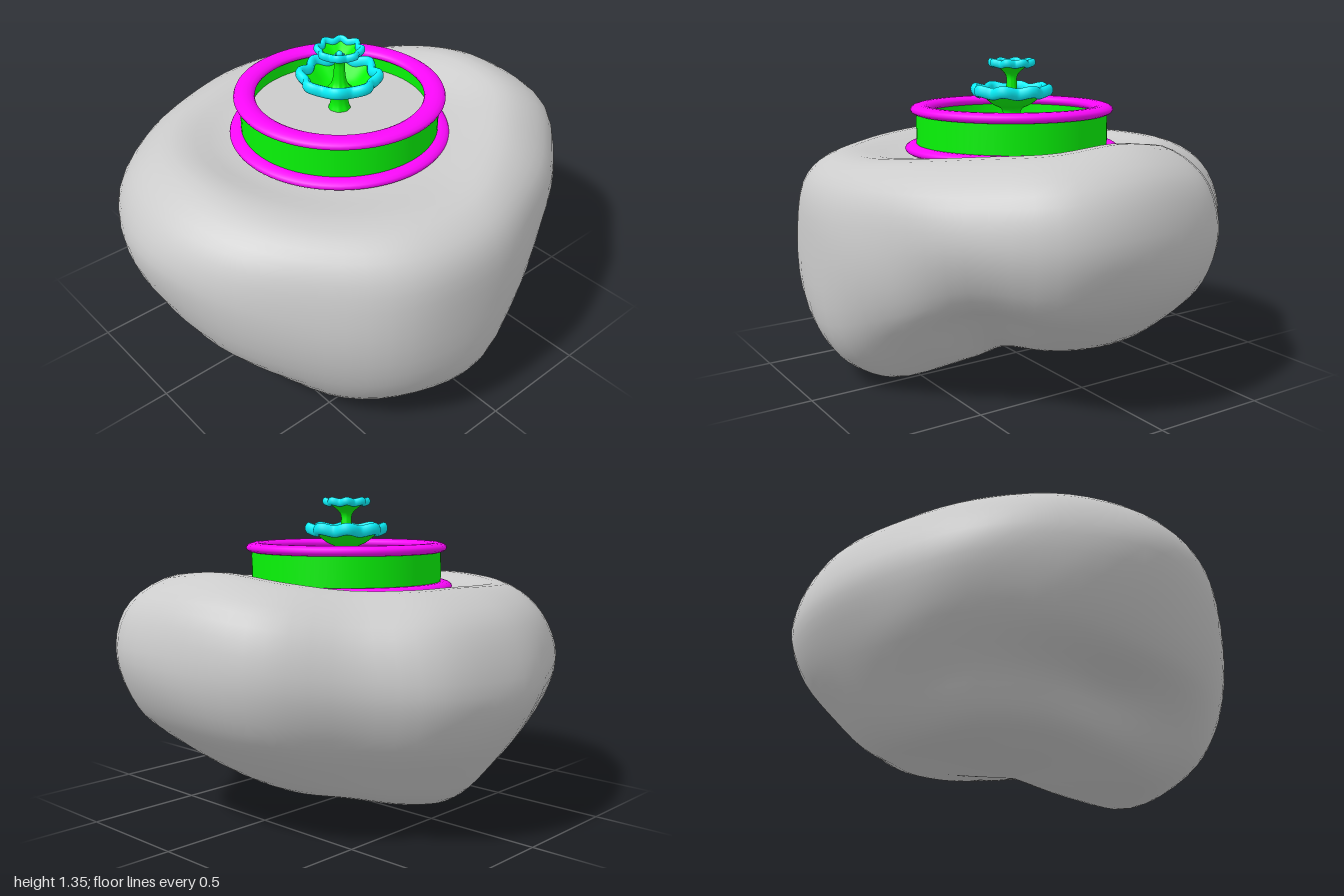
import * as THREE from 'three';

const V = (x, y, z) => new THREE.Vector3(x, y, z);
const mat = (color) => new THREE.MeshStandardMaterial({ color, side: THREE.DoubleSide });
const CX = -0.018, CZ = 0.012; // axis of the basin and fountain

// Plan radius of the boulder every 22.5 degrees, from +x towards +z
const OUTLINE = [0.99, 1.02, 0.93, 0.9, 0.935, 0.968, 0.945, 0.96, 0.992, 0.985, 0.945, 0.91, 0.945, 0.948, 0.885, 0.95];

// Boulder profile every 45 degrees, bottom to top: [share of plan radius, height]
const PROFILES = [
  [[.3, .14], [.5, .175], [.75, .32], [.93, .5], [1, .73], [.93, .96], [.72, 1.07], [.48, .99]],
  [[.36, .16], [.55, .26], [.77, .41], [.91, .51], [1, .72], [.95, .9], [.75, 1.025], [.48, .975]],
  [[.44, .03], [.68, .03], [.87, .13], [.975, .3], [1, .64], [.95, .88], [.81, .975], [.48, .96]],
  [[.42, .02], [.63, .02], [.82, .13], [.945, .32], [1, .62], [.94, .86], [.8, .97], [.48, .95]],
  [[.36, .06], [.53, .11], [.64, .255], [.87, .36], [1, .7], [.93, .89], [.74, 1.0], [.48, .95]],
  [[.4, .08], [.61, .12], [.75, .28], [.92, .46], [1, .68], [.92, .87], [.75, .98], [.48, .95]],
  [[.4, .085], [.6, .1], [.8, .27], [.94, .45], [1, .63], [.89, .89], [.65, 1.0], [.48, .97]],
  [[.38, .12], [.6, .16], [.78, .29], [.93, .46], [1, .66], [.92, .88], [.72, 1.0], [.48, .98]],
];

// Boulder skin: closed rings through the profiles, then a smooth column at each angle
function boulderGeometry(cols = 72, rows = 40) {
  const rings = PROFILES[0].map((_, k) => {
    const pts = OUTLINE.map((r, i) => {
      const a = PROFILES[i >> 1][k], b = PROFILES[((i + 1) >> 1) % 8][k];
      const rad = r * (a[0] + b[0]) / 2, t = i * Math.PI / 8;
      return V(rad * Math.cos(t), (a[1] + b[1]) / 2, rad * Math.sin(t));
    });
    return new THREE.CatmullRomCurve3(pts, true);
  });
  const pos = [], index = [];
  for (let u = 0; u < cols; u++) {
    const column = new THREE.CatmullRomCurve3([
      V(-0.02, 0.06, 0.02), ...rings.map((c) => c.getPoint(u / cols)), V(0, 0.96, 0)]);
    for (let v = 0; v <= rows; v++) {
      const p = column.getPoint(v / rows);
      // gentle weathered dents on the flanks
      const n = Math.sin(p.x * 7 + p.y * 5) * Math.sin(p.z * 8 - p.y * 6 + 1);
      const s = 1 + 0.007 * n * Math.sin(Math.PI * v / rows);
      pos.push(p.x * s, Math.max(p.y, 0), p.z * s);
    }
  }
  const id = (u, v) => (u % cols) * (rows + 1) + v;
  for (let u = 0; u < cols; u++) {
    for (let v = 0; v < rows; v++) {
      index.push(id(u, v), id(u, v + 1), id(u + 1, v), id(u + 1, v), id(u, v + 1), id(u + 1, v + 1));
    }
  }
  const g = new THREE.BufferGeometry();
  g.setAttribute('position', new THREE.Float32BufferAttribute(pos, 3));
  g.setIndex(index);
  g.computeVertexNormals();
  return g;
}

// Eight soft petals: 1 at the tip, -1 in the notch
const petal = (t) => Math.cos(8 * t);

// Bowl on a stem whose upper part ripples into petals
function bowlGeometry(profile, rimR, amp) {
  const curve = new THREE.SplineCurve(profile.map(([r, y]) => new THREE.Vector2(r, y)));
  const g = new THREE.LatheGeometry(curve.getPoints(24), 96);
  const p = g.attributes.position;
  for (let i = 0; i < p.count; i++) {
    const x = p.getX(i), z = p.getZ(i), r = Math.hypot(x, z);
    const w = Math.pow(Math.min(r / rimR, 1), 2) * petal(Math.atan2(z, x)) * amp;
    p.setXYZ(i, x * (1 + w / r), p.getY(i) + w * 0.5, z * (1 + w / r));
  }
  g.computeVertexNormals();
  return g;
}

// Scalloped lip following the bowl's edge, taller than it is wide
function rimGeometry(rimR, amp, tube) {
  const pts = [];
  for (let i = 0; i < 96; i++) {
    const t = i / 96 * Math.PI * 2, w = petal(t) * amp;
    pts.push(V((rimR + w) * Math.cos(t), w * 0.35, (rimR + w) * Math.sin(t)));
  }
  return new THREE.TubeGeometry(new THREE.CatmullRomCurve3(pts, true), 160, tube, 10, true).scale(1, 1.45, 1);
}

export function createModel() {
  const model = new THREE.Group();
  const grey = mat(0xcccccc), green = mat(0x08f408), magenta = mat(0xfa08fa), cyan = mat(0x08f0fa);
  const add = (name, geometry, material, x = CX, y = 0, z = CZ) => {
    const m = new THREE.Mesh(geometry, material);
    m.name = name;
    m.position.set(x, y, z);
    model.add(m);
  };

  add('boulder', boulderGeometry(), grey, 0, 0, 0);

  // Basin: round wall, two flattened trim rings and the water
  for (const r of [0.375, 0.42]) {
    add('basinWall', new THREE.CylinderGeometry(r, r, 0.19, 72, 1, true), green, CX, 1.045);
  }
  const trim = (name, r, y) => {
    const g = new THREE.TorusGeometry(r, 0.045, 14, 80).rotateX(Math.PI / 2).scale(1, 0.5, 1);
    add(name, g, magenta, CX, y);
  };
  trim('basinRim', 0.4, 1.143);
  trim('basinFoot', 0.425, 0.974);
  add('waterSurface', new THREE.CircleGeometry(0.39, 64).rotateX(-Math.PI / 2), grey, CX, 1.07);

  // Lower tier of the fountain
  add('lowerBowl', bowlGeometry(
    [[.05, 1.06], [.038, 1.1], [.045, 1.14], [.09, 1.165], [.155, 1.22]], 0.155, 0.011), green);
  add('lowerBowlRim', rimGeometry(0.155, 0.011, 0.018), cyan, CX, 1.22);

  // Upper tier
  add('upperBowl', bowlGeometry(
    [[.06, 1.15], [.032, 1.19], [.023, 1.25], [.03, 1.295], [.087, 1.34]], 0.087, 0.007), green);
  add('upperBowlRim', rimGeometry(0.087, 0.007, 0.012), cyan, CX, 1.34);
  add('upperBowlFloor', new THREE.CircleGeometry(0.035, 24).rotateX(-Math.PI / 2), green, CX, 1.3);

  // Spout: a bead with a ring of smaller ones
  add('spout', new THREE.SphereGeometry(0.014, 16, 12), cyan, CX, 1.32);
  for (let i = 0; i < 8; i++) {
    const t = i * Math.PI / 4;
    add('spoutBead', new THREE.SphereGeometry(0.006, 10, 8), cyan,
      CX + 0.02 * Math.cos(t), 1.312, CZ + 0.02 * Math.sin(t));
  }
  return model;
}
